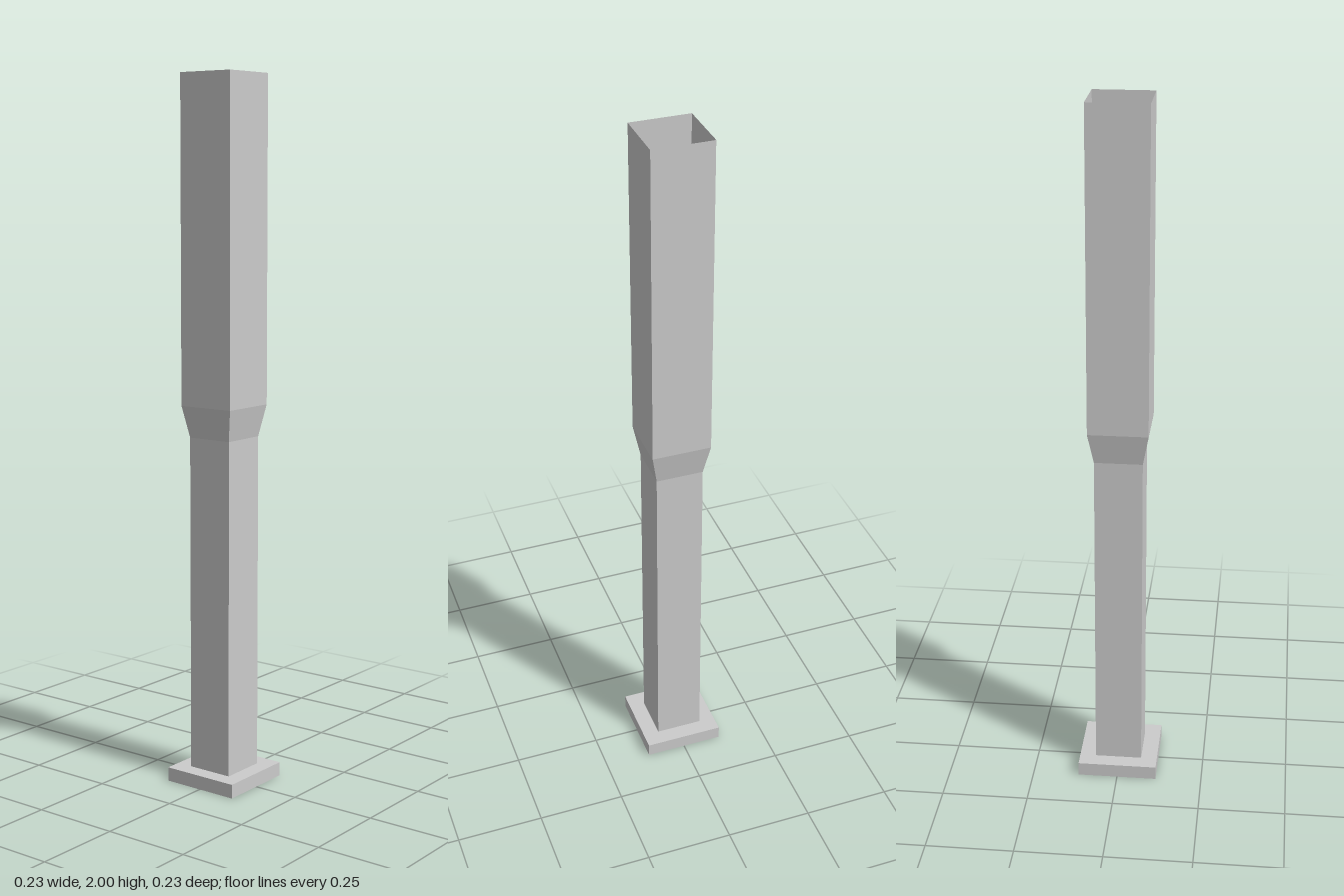
import * as THREE from 'three';

export function createModel() {
  const group = new THREE.Group();
  const solid = new THREE.MeshStandardMaterial({ color: 0xcccccc, flatShading: true });
  const sheet = new THREE.MeshStandardMaterial({ color: 0xcccccc, flatShading: true, side: THREE.DoubleSide });

  // Open square tube section between two heights, sized by half widths
  function tube(name, y0, y1, half0, half1) {
    const geometry = new THREE.CylinderGeometry(half1 * Math.SQRT2, half0 * Math.SQRT2, y1 - y0, 4, 1, true);
    geometry.rotateY(Math.PI / 4);
    geometry.translate(0, (y0 + y1) / 2, 0);
    const mesh = new THREE.Mesh(geometry, sheet);
    mesh.name = name;
    group.add(mesh);
  }

  // Square foot plate
  const plate = new THREE.Mesh(new THREE.BoxGeometry(0.23, 0.04, 0.23), solid);
  plate.name = 'basePlate';
  plate.position.y = 0.02;
  group.add(plate);

  // Hollow post, flaring to a wider open sleeve
  tube('lowerPost', 0.04, 1.0, 0.068, 0.068);
  tube('flare', 1.0, 1.09, 0.068, 0.085);
  tube('upperSleeve', 1.09, 2.0, 0.085, 0.085);

  return group;
}
